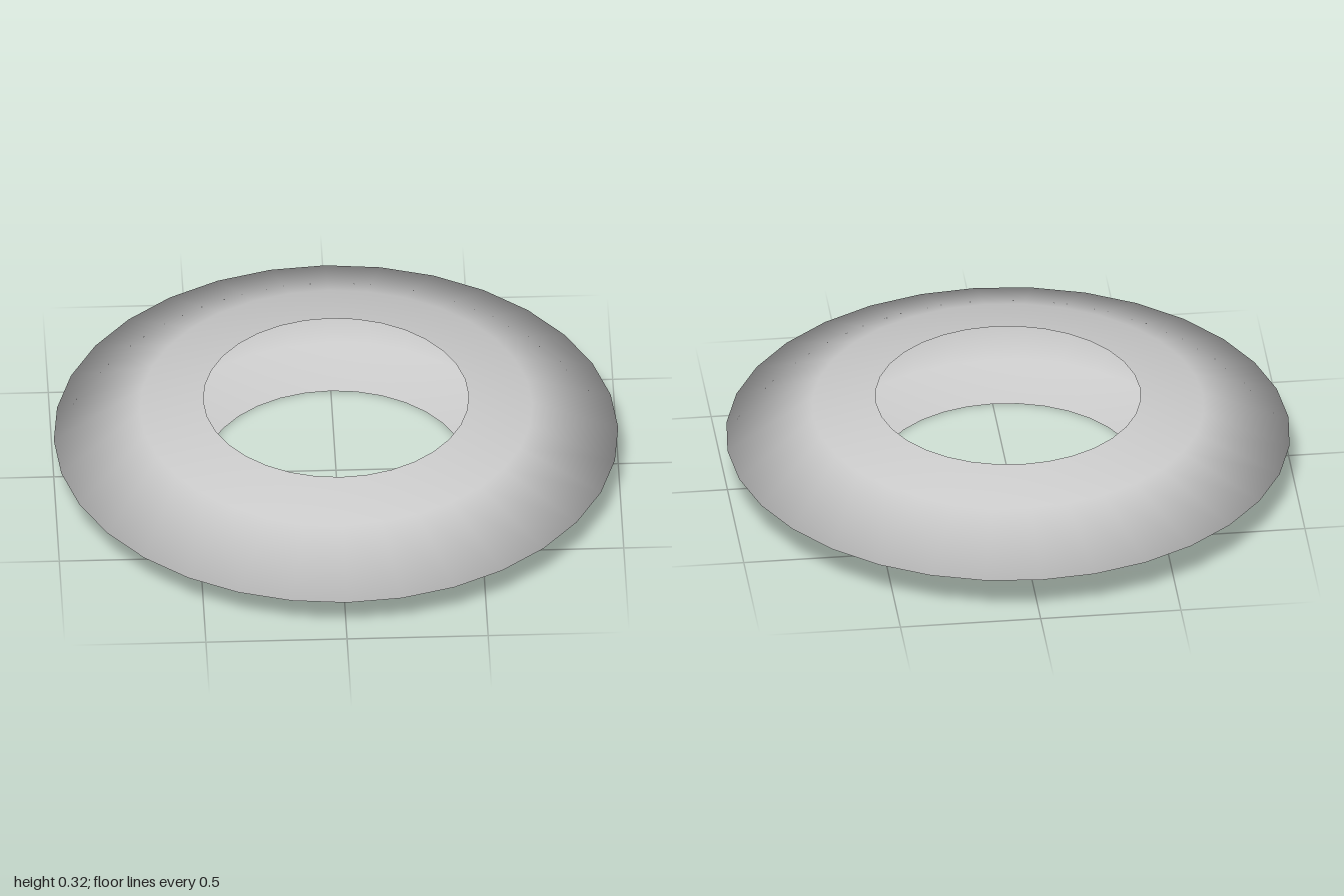
import * as THREE from 'three';

export function createModel() {
  const group = new THREE.Group();
  group.name = 'ring';

  // Half profile from the lower rim out to the sharp edge and up to the upper rim
  const profile = [
    [0.47, 0], [0.695, 0.043], [1, 0.16], [0.695, 0.277], [0.47, 0.32],
  ].map(([r, y]) => new THREE.Vector2(r, y));

  // Thin hollow shell, open towards the central hole
  const shell = new THREE.Mesh(
    new THREE.LatheGeometry(profile, 32),
    new THREE.MeshStandardMaterial({ color: 0xcccccc, side: THREE.DoubleSide }),
  );
  shell.name = 'ringShell';
  group.add(shell);
  return group;
}
